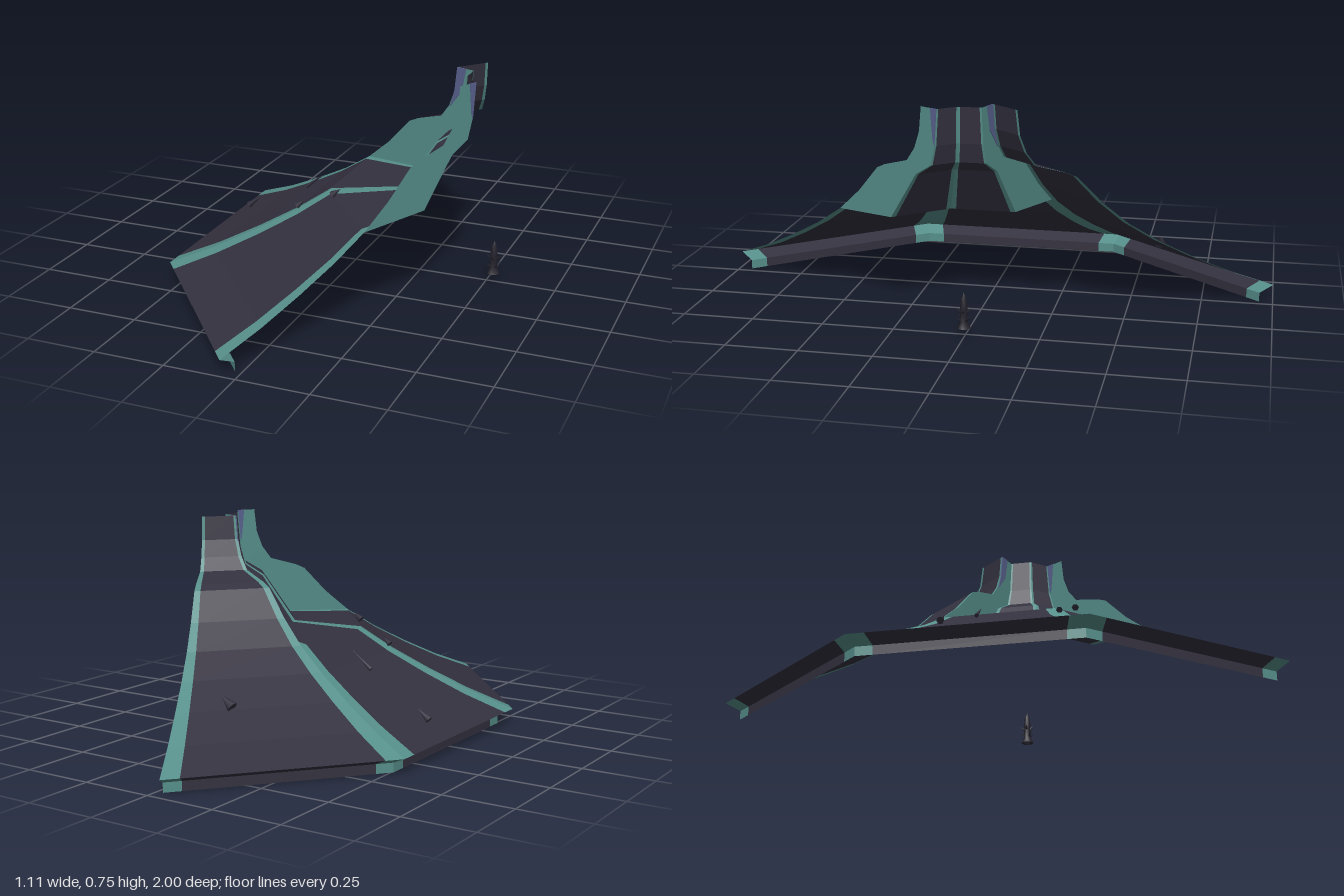
import * as THREE from 'three';

const AXIS_X = 0.527;            // vertical axis of the nine-sided roof
const DEG = Math.PI / 180;

// profiles as [corner radius, height]
const EAVE = [[1.1, 0], [1.1, 0.033], [1.155, 0.057]];
const LOWER = [[1.155, 0.057], [1.0, 0.117], [0.85, 0.187], [0.71, 0.26], [0.59, 0.335]];
const UPPER = [[0.59, 0.335], [0.49, 0.418], [0.397, 0.515], [0.36, 0.532], [0.254, 0.563],
  [0.218, 0.61], [0.195, 0.67], [0.185, 0.755]];
const INNER = [[0.334, 0.35], [0.214, 0.52], [0.144, 0.562], [0.125, 0.63], [0.114, 0.755]];
const LEDGE = [[0.59, 0.335], INNER[0]];

export function createModel() {
  const group = new THREE.Group();
  const mat = (name, color) => {
    const m = new THREE.MeshStandardMaterial({ color, side: THREE.DoubleSide });
    m.name = name;
    return m;
  };
  const slate = mat('dark slate', 0x34313f);
  const trim = mat('teal trim', 0x568f8a);
  const lavender = mat('lavender', 0x59628f);
  const iron = mat('iron', 0x23212b);

  const add = (name, geometry, material, parent = group) => {
    const mesh = new THREE.Mesh(geometry, material);
    mesh.name = name;
    parent.add(mesh);
    return mesh;
  };

  // surface of one flat roof side between two angles, following a profile
  function sector(profile, mid, a0, a1) {
    const point = ([r, y], a) => {
      const d = r * Math.cos(20 * DEG) / Math.cos((a - mid) * DEG);
      return [AXIS_X - d * Math.cos(a * DEG), y, d * Math.sin(a * DEG)];
    };
    const pos = [];
    for (let i = 0; i < profile.length - 1; i++) {
      const a = point(profile[i], a0), b = point(profile[i], a1);
      const c = point(profile[i + 1], a1), d = point(profile[i + 1], a0);
      pos.push(...a, ...b, ...c, ...a, ...c, ...d);
    }
    const g = new THREE.BufferGeometry();
    g.setAttribute('position', new THREE.Float32BufferAttribute(pos, 3));
    g.computeVertexNormals();
    return g;
  }

  // three roof sides: the back one runs full height, the others step in above a ledge
  const sides = [
    ['backSide', -40, [EAVE, LOWER, UPPER]],
    ['middleSide', 0, [EAVE, LOWER, LEDGE, INNER]],
    ['frontSide', 40, [EAVE, LOWER, LEDGE, INNER]],
  ];
  for (const [name, mid, profiles] of sides) {
    const side = new THREE.Group();
    side.name = name;
    group.add(side);
    for (const p of profiles) {
      add('slatePanel', sector(p, mid, mid - 17, mid + 17), slate, side);
      for (const s of [-1, 1]) {
        add('hipTrim', sector(p, mid, mid + s * (s < 0 ? 20 : 17), mid + s * (s < 0 ? 17 : 20)), trim, side);
      }
    }
  }

  // upright plate in the radial plane at an angle
  function radial(points, angle, thickness = 0) {
    const shape = new THREE.Shape(points.map(([r, y]) => new THREE.Vector2(r, y)));
    const g = thickness
      ? new THREE.ExtrudeGeometry(shape, { depth: thickness, bevelEnabled: false }).translate(0, 0, -thickness / 2)
      : new THREE.ShapeGeometry(shape);
    return g.rotateY(angle * DEG + Math.PI).translate(AXIS_X, 0, 0);
  }
  const wall = [...UPPER, ...[...INNER].reverse()];
  add('backGableWall', radial(wall, -20), trim);
  add('frontGableWall', radial(wall, 60), trim);

  // lavender inlays near the top of the gable walls
  add('backInlay', radial([[0.185, 0.755], [0.147, 0.755], [0.165, 0.67], [0.215, 0.605], [0.195, 0.67]], -20, 0.004), lavender);
  add('frontInlay', radial([[0.142, 0.755], [0.114, 0.755], [0.125, 0.63], [0.132, 0.65]], 60, 0.004), lavender);

  // thorned finial on the axis
  const finial = new THREE.Group();
  finial.name = 'finial';
  finial.position.set(0.525, 0.033, 0);
  group.add(finial);
  const stem = [[0.023, 0], [0.014, 0.02], [0.012, 0.05], [0.013, 0.07], [0.009, 0.105], [0, 0.122]];
  add('finialStem', new THREE.LatheGeometry(stem.map(([r, y]) => new THREE.Vector2(r, y)), 8), iron, finial);
  for (let i = 0; i < 8; i++) {
    const arm = new THREE.Group();
    arm.name = 'thornArm';
    arm.rotation.y = i * Math.PI / 4;
    finial.add(arm);
    const thorn = add('thorn', new THREE.ConeGeometry(0.005, 0.026, 4), iron, arm);
    thorn.position.set(0.019, i % 2 ? 0.032 : 0.062, 0);
    thorn.rotation.z = -0.95;
  }

  // small spikes hovering over the slates: [x, y, z, radius, length]
  const spikes = [
    [-0.46, 0.13, -0.1, 0.013, 0.06],
    [-0.175, 0.275, -0.04, 0.008, 0.1],
    [0.0, 0.215, -0.595, 0.02, 0.06],
    [-0.115, 0.29, 0.235, 0.012, 0.035],
    [0.035, 0.365, 0.27, 0.013, 0.04],
  ];
  for (const [x, y, z, r, h] of spikes) {
    const spike = add('roofSpike', new THREE.ConeGeometry(r, h, 6), slate);
    spike.position.set(x, y, z);
    spike.rotation.z = -0.9;
  }
  return group;
}
